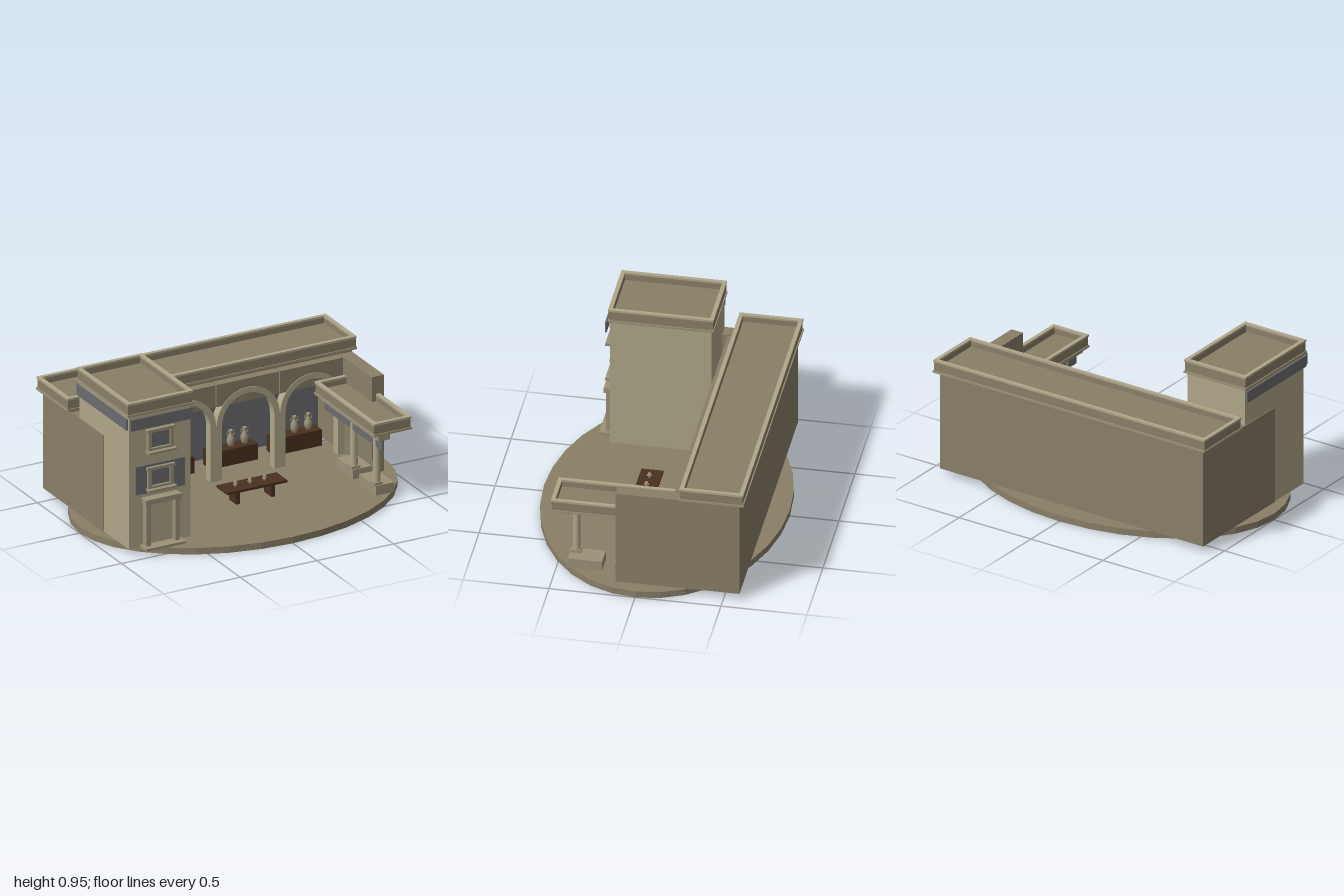
import * as THREE from 'three';

const mat = (name, color) => {
  const m = new THREE.MeshStandardMaterial({ color });
  m.name = name;
  return m;
};

export function createModel() {
  const root = new THREE.Group();
  root.name = 'courtyardBuilding';
  const light = mat('lightStone', 0xb0a78a);
  const dark = mat('darkStone', 0x8a7f68);
  const trim = mat('trimStone', 0x9c9278);
  const grey = mat('greyPanel', 0x6c6c6f);
  const brown = mat('darkWood', 0x4a3020);

  const group = (name, parent = root) => {
    const g = new THREE.Group();
    g.name = name;
    parent.add(g);
    return g;
  };
  const add = (name, geo, m, parent = root) => {
    const mesh = new THREE.Mesh(geo, m);
    mesh.name = name;
    parent.add(mesh);
    return mesh;
  };
  // Box given by its limits on each axis
  const box = (name, m, x0, x1, y0, y1, z0, z1, parent) => {
    const mesh = add(name, new THREE.BoxGeometry(x1 - x0, y1 - y0, z1 - z0), m, parent);
    mesh.position.set((x0 + x1) / 2, (y0 + y1) / 2, (z0 + z1) / 2);
    return mesh;
  };
  // Upright rectangular ring
  const ring = (name, m, x0, x1, y0, y1, z0, z1, w, parent) => {
    box(name, m, x0, x1, y0, y1, z0, z0 + w, parent);
    box(name, m, x0, x1, y0, y1, z1 - w, z1, parent);
    box(name, m, x0, x0 + w, y0, y1, z0 + w, z1 - w, parent);
    box(name, m, x1 - w, x1, y0, y1, z0 + w, z1 - w, parent);
  };
  // Flat roof with moulding, parapet and light rim
  const roof = (name, x0, x1, y0, y1, z0, z1) => {
    const g = group(name);
    const i = 0.006;
    box('roofMoulding', trim, x0, x1, y0, y0 + 0.013, z0, z1, g);
    box('roofFloor', dark, x0 + 0.01, x1 - 0.01, y0 + 0.013, y0 + 0.035, z0 + 0.01, z1 - 0.01, g);
    ring('parapet', dark, x0 + i, x1 - i, y0 + 0.013, y1 - 0.012, z0 + i, z1 - i, 0.02, g);
    ring('parapetRim', light, x0 + 0.002, x1 - 0.002, y1 - 0.012, y1, z0 + 0.002, z1 - 0.002, 0.024, g);
  };

  // Oval ground
  const disc = new THREE.CylinderGeometry(1, 1, 0.04, 32).scale(1, 1, 0.715).toNonIndexed();
  disc.computeVertexNormals();
  add('ground', disc, dark).position.y = 0.02;

  // Back hall
  box('backWall', dark, -0.915, 0.915, 0.04, 0.64, -0.592, -0.52);
  for (const s of [-1, 1]) {
    const a = s * 0.835, b = s * 0.915;
    box('sideWall', dark, Math.min(a, b), Math.max(a, b), 0.04, 0.638, -0.52, 0.13);
  }
  box('hallCeiling', dark, -0.915, 0.915, 0.638, 0.65, -0.59, -0.255);
  box('hallPanel', grey, -0.835, 0.835, 0.04, 0.638, -0.52, -0.512);
  roof('hallRoof', -0.945, 0.945, 0.65, 0.73, -0.62, -0.245);

  // Jug with two handles, standing at its own origin
  const jugProfile = [[0.001, 0], [0.017, 0], [0.023, 0.025], [0.022, 0.05], [0.011, 0.075],
    [0.01, 0.088], [0.014, 0.1], [0.009, 0.098], [0.001, 0.085]].map(p => new THREE.Vector2(...p));
  const jugGeo = new THREE.LatheGeometry(jugProfile, 12);
  const handleGeo = new THREE.TorusGeometry(0.014, 0.003, 5, 8, Math.PI);
  const jug = (x, y, z) => {
    const g = group('jug');
    g.position.set(x, y, z);
    add('jugBody', jugGeo, trim, g);
    for (const s of [-1, 1]) {
      const h = add('jugHandle', handleGeo, trim, g);
      h.position.set(s * 0.011, 0.078, 0);
      h.rotation.z = -s * Math.PI / 2;
    }
  };

  // Four arcade bays, each with an arch, upper wall, counter and jugs
  const bay = 0.415, spring = 0.38, rOut = 0.205, rIn = 0.17;
  const archShape = new THREE.Shape();
  archShape.absarc(0, 0, rOut, 0, Math.PI, false);
  archShape.absarc(0, 0, rIn, Math.PI, 0, true);
  const archGeo = new THREE.ExtrudeGeometry(archShape, { depth: 0.055, bevelEnabled: false, curveSegments: 16 });
  for (let i = 0; i < 4; i++) {
    const x = (i - 1.5) * bay;
    box('upperArcadeWall', dark, x - 0.204, x + 0.204, 0.5, 0.638, -0.255, -0.2);
    add('arch', archGeo, light).position.set(x, spring, -0.251);
    box('counter', brown, x - 0.155, x + 0.155, 0.04, 0.14, -0.45, -0.36);
    for (const d of [-0.09, 0, 0.09]) jug(x + d, 0.14, -0.405);
  }
  for (let i = -2; i <= 2; i++) {
    const x = i * bay;
    box('arcadePillar', light, x - 0.037, x + 0.037, 0.04, spring + 0.01, -0.25, -0.197);
  }

  // Tower
  box('tower', light, -0.91, -0.51, 0.04, 0.866, -0.165, 0.425);
  roof('towerRoof', -0.925, -0.495, 0.866, 0.95, -0.18, 0.438);
  box('towerFrontBand', grey, -0.915, -0.51, 0.785, 0.855, 0.447, 0.456);
  box('towerSideBand', grey, -0.929, -0.921, 0.785, 0.855, -0.168, 0.43);
  box('windowBackdrop', grey, -0.87, -0.55, 0.37, 0.545, 0.425, 0.432);

  // Tower windows
  for (const y of [0.62, 0.385]) {
    const g = group('window');
    box('windowPane', grey, -0.785, -0.64, y + 0.02, y + 0.135, 0.427, 0.435, g);
    box('windowHead', trim, -0.803, -0.622, y + 0.128, y + 0.146, 0.425, 0.45, g);
    box('windowSill', trim, -0.803, -0.622, y, y + 0.016, 0.425, 0.475, g);
    box('windowLowerFrame', trim, -0.79, -0.635, y + 0.016, y + 0.03, 0.425, 0.45, g);
    for (const x of [-0.785, -0.64]) {
      box('windowJamb', trim, x - 0.011, x + 0.011, y + 0.016, y + 0.128, 0.425, 0.448, g);
    }
  }

  // Tower door
  const door = group('door');
  box('doorStep', trim, -0.84, -0.58, 0.04, 0.055, 0.425, 0.503, door);
  box('doorPanel', light, -0.79, -0.63, 0.055, 0.32, 0.425, 0.433, door);
  box('doorLintel', trim, -0.83, -0.595, 0.315, 0.347, 0.425, 0.48, door);
  for (const x of [-0.805, -0.617]) {
    box('doorPilaster', trim, x - 0.015, x + 0.015, 0.055, 0.315, 0.425, 0.468, door);
  }

  // Side portico
  roof('porticoRoof', 0.638, 0.888, 0.45, 0.53, -0.2, 0.513);
  box('porticoBeam', trim, 0.675, 0.75, 0.412, 0.45, -0.2, 0.503);
  box('porticoPanel', grey, 0.708, 0.717, 0.34, 0.412, -0.2, 0.485);
  for (const z of [0.39, 0.12]) {
    const g = group('porticoColumn');
    box('pedestal', trim, 0.7, 0.82, 0.04, 0.1, z - 0.165, z + 0.035, g);
    add('columnShaft', new THREE.CylinderGeometry(0.02, 0.023, 0.3, 12), light, g).position.set(0.723, 0.25, z);
    box('columnBase', trim, 0.695, 0.751, 0.098, 0.115, z - 0.028, z + 0.028, g);
    box('columnCapital', trim, 0.688, 0.758, 0.4, 0.42, z - 0.035, z + 0.035, g);
  }

  // Courtyard table with small cups
  const table = group('table');
  box('tableTop', brown, -0.13, 0.26, 0.12, 0.135, 0.045, 0.173, table);
  for (const x of [-0.05, 0.18]) box('tableLeg', brown, x - 0.012, x + 0.012, 0.04, 0.12, 0.065, 0.153, table);
  for (const x of [-0.045, 0.05, 0.145]) {
    const g = group('cup', table);
    g.position.set(x, 0.135, 0.11);
    add('cupBody', new THREE.CylinderGeometry(0.009, 0.006, 0.03, 8), light, g).position.y = 0.015;
    for (const [w, d] of [[0.028, 0.005], [0.005, 0.028]]) {
      box('cupHandles', light, -w / 2, w / 2, 0.012, 0.02, -d / 2, d / 2, g);
    }
  }
  return root;
}
